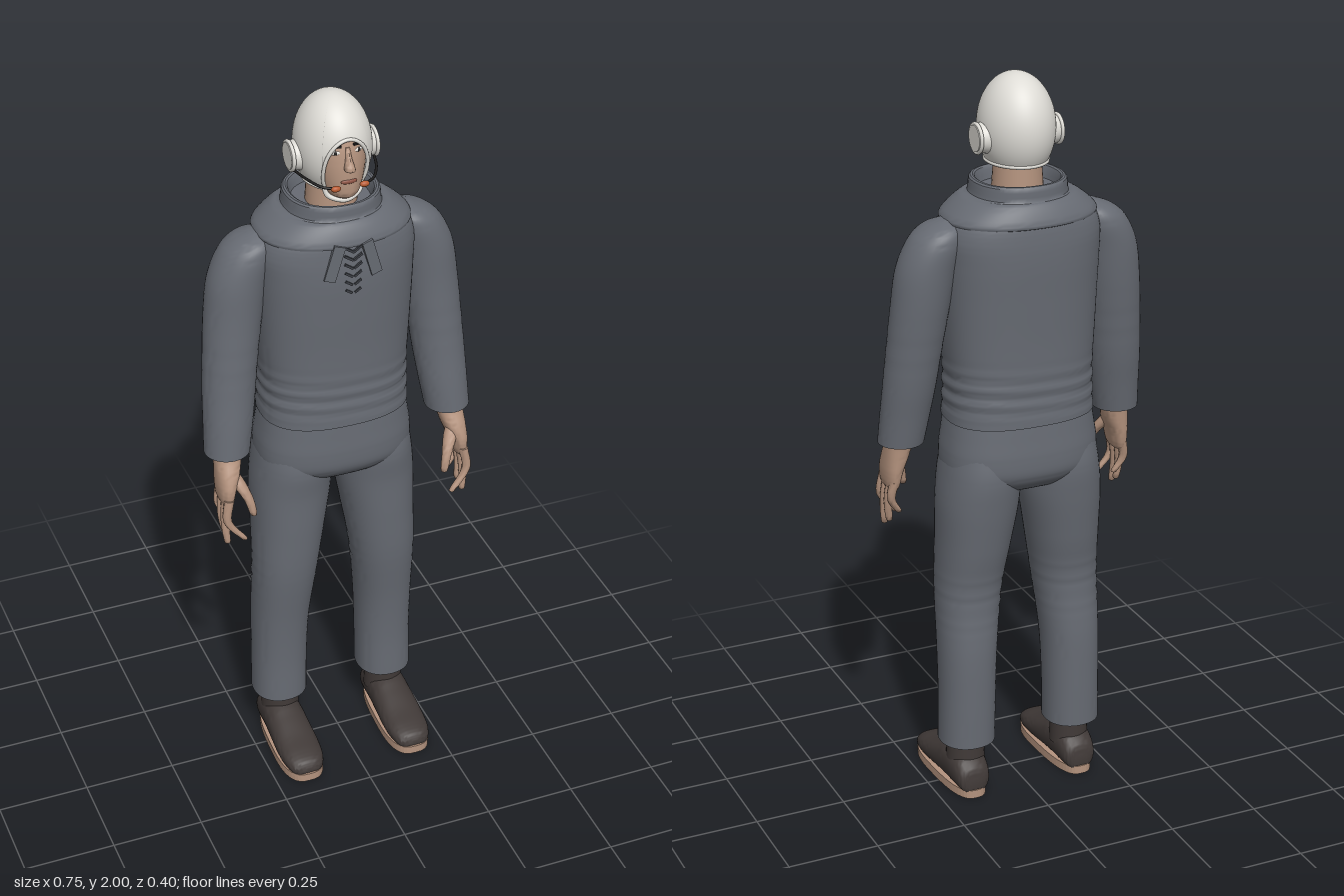
import * as THREE from 'three';
import { toCreasedNormals } from 'three/addons/utils/BufferGeometryUtils.js';

const mat = (name, color) => Object.assign(new THREE.MeshStandardMaterial({ color }), { name });

// Smooth loft through level rings [y, cx, cz, rx, rz]; n is the superellipse power.
function loft(rings, { n = 2, seg = 40, steps = 6, bump = () => 1, crease = 0.9 } = {}) {
  const times = Float32Array.from(rings, (r, i) => i);
  const curve = new THREE.CubicInterpolant(times, Float32Array.from(rings.flat()), 5, new Float32Array(5));
  const rows = (rings.length - 1) * steps + 1, pos = [], idx = [];
  const pw = v => Math.sign(v) * Math.abs(v) ** (2 / n);
  for (let j = 0; j < rows; j++) {
    const [y, cx, cz, rx, rz] = curve.evaluate(j / steps);
    for (let i = 0; i < seg; i++) {
      const a = i / seg * Math.PI * 2, b = bump(y, a);
      pos.push(cx + rx * b * pw(Math.cos(a)), y, cz + rz * b * pw(Math.sin(a)));
    }
  }
  for (let j = 0; j < rows - 1; j++) for (let i = 0; i < seg; i++) {
    const p = j * seg + i, q = j * seg + (i + 1) % seg;
    idx.push(p, p + seg, q, q, p + seg, q + seg);
  }
  // End caps
  const first = rings[0], last = rings[rings.length - 1], c = rows * seg, top = (rows - 1) * seg;
  pos.push(first[1], first[0], first[2], last[1], last[0], last[2]);
  for (let i = 0; i < seg; i++) {
    const k = (i + 1) % seg;
    idx.push(c, i, k, c + 1, top + k, top + i);
  }
  const g = new THREE.BufferGeometry();
  g.setAttribute('position', new THREE.Float32BufferAttribute(pos, 3));
  g.setIndex(idx);
  return toCreasedNormals(g, crease);
}

const V = (x, y, z) => new THREE.Vector3(x, y, z);
const tube = (pts, r, closed = false, seg = 32) =>
  new THREE.TubeGeometry(new THREE.CatmullRomCurve3(pts, closed), seg, r, 8, closed);

// Cloth folds fade in and out between two heights
const folds = (y, lo, hi, count, amp) => {
  const t = (y - lo) / (hi - lo);
  return t < 0 || t > 1 ? 0 : amp * Math.sin(t * Math.PI) * Math.sin(t * count * Math.PI * 2);
};

export function createModel() {
  const suit = mat('grey cloth', 0x676b73), seam = mat('dark lacing', 0x3c3f45);
  const skin = mat('skin', 0xb4937e), white = mat('helmet white', 0xdedcd6);
  const shoe = mat('dark leather', 0x403937), black = mat('black', 0x1d1c1c);
  const orange = mat('orange foam', 0xb85a30), eyeWhite = mat('eye white', 0xe6e2dc);
  const lip = mat('lips', 0x8f5444);
  const model = new THREE.Group();
  const add = (name, geo, m, parent = model) => {
    const mesh = new THREE.Mesh(geo, m);
    mesh.name = name;
    parent.add(mesh);
    return mesh;
  };
  const both = fn => [['left', 1], ['right', -1]].forEach(([word, s]) => fn(word, s));

  // Pullover
  add('torso', loft([
    [1.095, 0, -0.045, 0.202, 0.146], [1.15, 0, -0.045, 0.199, 0.144], [1.22, 0, -0.045, 0.198, 0.144],
    [1.32, 0, -0.045, 0.203, 0.146], [1.43, 0, -0.045, 0.208, 0.151], [1.53, 0, -0.046, 0.212, 0.155],
    [1.6, 0, -0.047, 0.212, 0.153], [1.65, 0, -0.047, 0.19, 0.145], [1.68, 0, -0.047, 0.14, 0.12],
  ], { n: 2.5, seg: 64, steps: 10, bump: (y, a) => 1 + folds(y + 0.008 * Math.sin(a * 2), 1.1, 1.27, 4, 0.014) }), suit);
  add('collar', loft([
    [1.632, 0, -0.047, 0.19, 0.14], [1.636, 0, -0.047, 0.206, 0.156], [1.65, 0, -0.047, 0.203, 0.155],
    [1.675, 0, -0.047, 0.175, 0.143], [1.692, 0, -0.047, 0.148, 0.13], [1.697, 0, -0.047, 0.128, 0.122],
    [1.73, 0, -0.047, 0.123, 0.12], [1.732, 0, -0.047, 0.108, 0.108], [1.7, 0, -0.047, 0.1, 0.1],
  ], { n: 2.2, seg: 64, steps: 3, crease: 0.6 }), suit);

  // Laced neck opening
  const lacing = new THREE.Group();
  lacing.name = 'neckLacing';
  model.add(lacing);
  for (let i = 0; i < 6; i++) both((word, s) => {
    const bar = add(word + 'Lace', new THREE.BoxGeometry(0.03 - i * 0.002, 0.006, 0.006), seam, lacing);
    bar.position.set(s * 0.012, 1.63 - i * 0.024, 0.109);
    bar.rotation.z = s * 0.6;
  });
  both((word, s) => {
    const flap = add(word + 'NeckFlap', new THREE.BoxGeometry(0.03, 0.1, 0.012), suit, lacing);
    flap.position.set(s * 0.05, 1.597, 0.106);
    flap.rotation.set(0, s * 0.1, s * 0.28);
  });

  // Trousers
  add('hips', loft([
    [0.888, 0, -0.05, 0.08, 0.05], [0.91, 0, -0.05, 0.165, 0.105], [0.95, 0, -0.048, 0.207, 0.14],
    [1.0, 0, -0.047, 0.212, 0.147], [1.06, 0, -0.046, 0.204, 0.144], [1.12, 0, -0.045, 0.194, 0.14],
  ], { n: 2.5, seg: 56 }), suit);

  both((word, s) => {
    const limb = rings => rings.map(([y, x, ...rest]) => [y, s * x, ...rest]);
    add(word + 'Leg', loft(limb([
      [0.155, 0.157, -0.055, 0.076, 0.08], [0.29, 0.155, -0.056, 0.076, 0.082],
      [0.43, 0.152, -0.051, 0.079, 0.088], [0.6, 0.142, -0.036, 0.088, 0.096],
      [0.74, 0.13, -0.043, 0.098, 0.111], [0.86, 0.12, -0.05, 0.107, 0.122],
      [0.95, 0.113, -0.05, 0.104, 0.13], [1.03, 0.105, -0.05, 0.098, 0.12],
    ]), { n: 2.2, seg: 44, steps: 10, bump: (y, a) => 1 + folds(y, 0.48, 0.68, 5, 0.012 - 0.014 * Math.sin(a)) }), suit);

    // Sleeve
    add(word + 'Arm', loft(limb([
      [1.037, 0.312, 0.003, 0.061, 0.062], [1.12, 0.303, -0.008, 0.066, 0.065],
      [1.2, 0.295, -0.02, 0.07, 0.068], [1.3, 0.285, -0.031, 0.073, 0.071],
      [1.42, 0.271, -0.042, 0.077, 0.075], [1.52, 0.255, -0.047, 0.079, 0.078],
      [1.59, 0.23, -0.05, 0.073, 0.076], [1.625, 0.212, -0.05, 0.055, 0.062], [1.645, 0.2, -0.05, 0.02, 0.025],
    ]), { bump: y => 1 + folds(y, 1.22, 1.4, 3, 0.008) }), suit);

    // Hand
    const hand = new THREE.Group();
    hand.name = word + 'Hand';
    model.add(hand);
    add(word + 'Palm', loft(limb([
      [0.9, 0.332, 0.035, 0.012, 0.04], [0.915, 0.332, 0.034, 0.019, 0.048], [0.95, 0.329, 0.032, 0.025, 0.052],
      [0.99, 0.321, 0.024, 0.032, 0.047], [1.03, 0.315, 0.012, 0.036, 0.038], [1.07, 0.312, 0.004, 0.037, 0.037],
    ]), { n: 2.3, seg: 24 }), skin, hand);
    [[0.074, 0.8, 0.3, 0.088], [0.049, 0.783, 0.337, 0.064], [0.022, 0.8, 0.335, 0.035], [-0.002, 0.83, 0.318, 0.012]]
      .forEach(([z, tipY, tipX, tipZ], i) => add(word + 'Finger' + (i + 1), loft(limb([
        [tipY, tipX, tipZ, 0.004, 0.004], [tipY + 0.006, tipX + 0.001, tipZ, 0.009, 0.009],
        [(tipY + 0.92) / 2, 0.341, (z + tipZ) / 2, 0.0115, 0.0115], [0.925, 0.333, z, 0.0135, 0.014],
      ]), { seg: 12, steps: 4 }), skin, hand));
    add(word + 'Thumb', loft(limb([
      [0.872, 0.272, 0.092, 0.004, 0.004], [0.88, 0.273, 0.091, 0.01, 0.01], [0.92, 0.282, 0.083, 0.013, 0.013],
      [0.96, 0.3, 0.06, 0.018, 0.019], [1.0, 0.318, 0.035, 0.014, 0.015],
    ]), { seg: 14, steps: 4 }), skin, hand);

    // Shoe: upper lofted from heel to toe, on a flat sole
    const upper = [[-0.128, 0.05, 0.02], [-0.118, 0.085, 0.042], [-0.08, 0.115, 0.052], [-0.02, 0.124, 0.055],
      [0.04, 0.104, 0.058], [0.1, 0.082, 0.06], [0.15, 0.068, 0.056], [0.182, 0.055, 0.044], [0.194, 0.038, 0.025]]
      .map(([z, top, rx]) => [z, s * 0.16, -(top + 0.012) / 2, rx, (top - 0.012) / 2]);
    add(word + 'ShoeUpper', loft(upper, { n: 2.4, seg: 32 }).rotateX(Math.PI / 2), shoe);
    const outline = [...Array(48)].map((_, i) => {
      const a = i / 48 * Math.PI * 2, c = Math.cos(a), d = Math.sin(a), v = Math.sign(d) * Math.abs(d) ** 0.7;
      return new THREE.Vector2(s * 0.16 + (0.059 + 0.008 * v) * Math.sign(c) * Math.abs(c) ** 0.7, -0.034 - 0.166 * -v * -1);
    });
    add(word + 'Sole', new THREE.ExtrudeGeometry(new THREE.Shape(outline), { depth: 0.024, bevelEnabled: false })
      .rotateX(-Math.PI / 2), skin);
    add(word + 'Ankle', new THREE.CylinderGeometry(0.05, 0.054, 0.1, 28).translate(s * 0.157, 0.125, -0.048), shoe);
  });

  // Neck and head
  add('neck', new THREE.CylinderGeometry(0.06, 0.068, 0.12, 32).translate(0, 1.745, -0.045), skin);
  add('head', loft([
    [1.752, 0, 0.03, 0.025, 0.035], [1.765, 0, 0.022, 0.044, 0.057], [1.8, 0, 0, 0.062, 0.081],
    [1.85, 0, -0.02, 0.076, 0.097], [1.9, 0, -0.034, 0.082, 0.1], [1.945, 0, -0.035, 0.065, 0.08],
  ]), skin);
  add('nose', loft([
    [1.836, 0, 0.079, 0.008, 0.008], [1.842, 0, 0.083, 0.014, 0.017], [1.865, 0, 0.073, 0.009, 0.015],
    [1.895, 0, 0.06, 0.007, 0.01],
  ], { seg: 16 }), skin);
  const disc = (rx, ry, rz) => new THREE.SphereGeometry(1, 20, 12).scale(rx, ry, rz);
  add('mouth', disc(0.022, 0.007, 0.006), lip).position.set(0, 1.806, 0.077);
  both((word, s) => {
    const eye = new THREE.Group();
    eye.name = word + 'Eye';
    eye.position.set(s * 0.03, 1.882, 0.062);
    eye.rotation.y = s * 0.35;
    model.add(eye);
    add(word + 'Eyeball', disc(0.013, 0.006, 0.004), eyeWhite, eye);
    add(word + 'Iris', disc(0.005, 0.0055, 0.003), black, eye).position.z = 0.002;
    const brow = add(word + 'Eyebrow', new THREE.BoxGeometry(0.03, 0.005, 0.006), black, eye);
    brow.position.set(0, 0.016, 0);
    brow.rotation.z = s * -0.12;
  });

  // Helmet shell: a dome cut along a rim that rises over the face
  const rim = [], face = 0.68;
  for (let i = 0; i < 40; i++) {
    const t = -Math.PI / 2 + i / 40 * Math.PI;
    rim.push([face * Math.sin(t), 1.775 + 0.142 * Math.abs(Math.cos(t)) ** 0.7]);
  }
  for (let i = 0; i < 48; i++) rim.push([face + i / 48 * (Math.PI * 2 - face * 2), 1.775]);
  const dome = (phi, th) => V(0.098 * Math.sin(th) * Math.sin(phi), 1.86 + 0.14 * Math.cos(th),
    -0.037 + 0.117 * Math.sin(th) * Math.cos(phi));
  const rows = 24, pos = [], idx = [], m = rim.length;
  for (let j = 0; j <= rows; j++) for (const [phi, y] of rim)
    pos.push(...dome(phi, Math.max(j, 0.01) / rows * Math.acos((y - 1.86) / 0.14)).toArray());
  for (let j = 0; j < rows; j++) for (let i = 0; i < m; i++) {
    const p = j * m + i, q = j * m + (i + 1) % m;
    idx.push(p, p + m, q, q, p + m, q + m);
  }
  const shell = new THREE.BufferGeometry();
  shell.setAttribute('position', new THREE.Float32BufferAttribute(pos, 3));
  shell.setIndex(idx);
  shell.computeVertexNormals();
  white.side = THREE.DoubleSide;
  add('helmetShell', shell, white);
  const edge = rim.map(([phi, y]) => dome(phi, Math.acos((y - 1.86) / 0.14)));
  add('helmetRim', tube(edge, 0.005, true, 160), white);
  add('chinStrap', tube([V(-0.05, 1.785, 0.035), V(-0.042, 1.757, 0.042), V(0, 1.745, 0.058),
    V(0.042, 1.757, 0.042), V(0.05, 1.785, 0.035)], 0.007), white);

  // Headset
  both((word, s) => {
    const cup = add(word + 'EarCup', new THREE.CylinderGeometry(0.034, 0.041, 0.03, 32), white);
    cup.position.set(s * 0.103, 1.84, -0.042);
    cup.rotation.z = -s * Math.PI / 2;
    const ring = add(word + 'EarCupRing', new THREE.TorusGeometry(0.037, 0.005, 8, 32), white);
    ring.position.set(s * 0.112, 1.84, -0.042);
    ring.rotation.y = Math.PI / 2;
    add(word + 'MicrophoneBoom', tube([V(s * 0.108, 1.808, -0.025), V(s * 0.092, 1.805, 0.03),
      V(s * 0.068, 1.799, 0.07), V(s * 0.04, 1.797, 0.086)], 0.0035), black);
    add(word + 'Microphone', disc(0.013, 0.008, 0.008), orange).position.set(s * 0.038, 1.796, 0.086);
  });
  return model;
}
